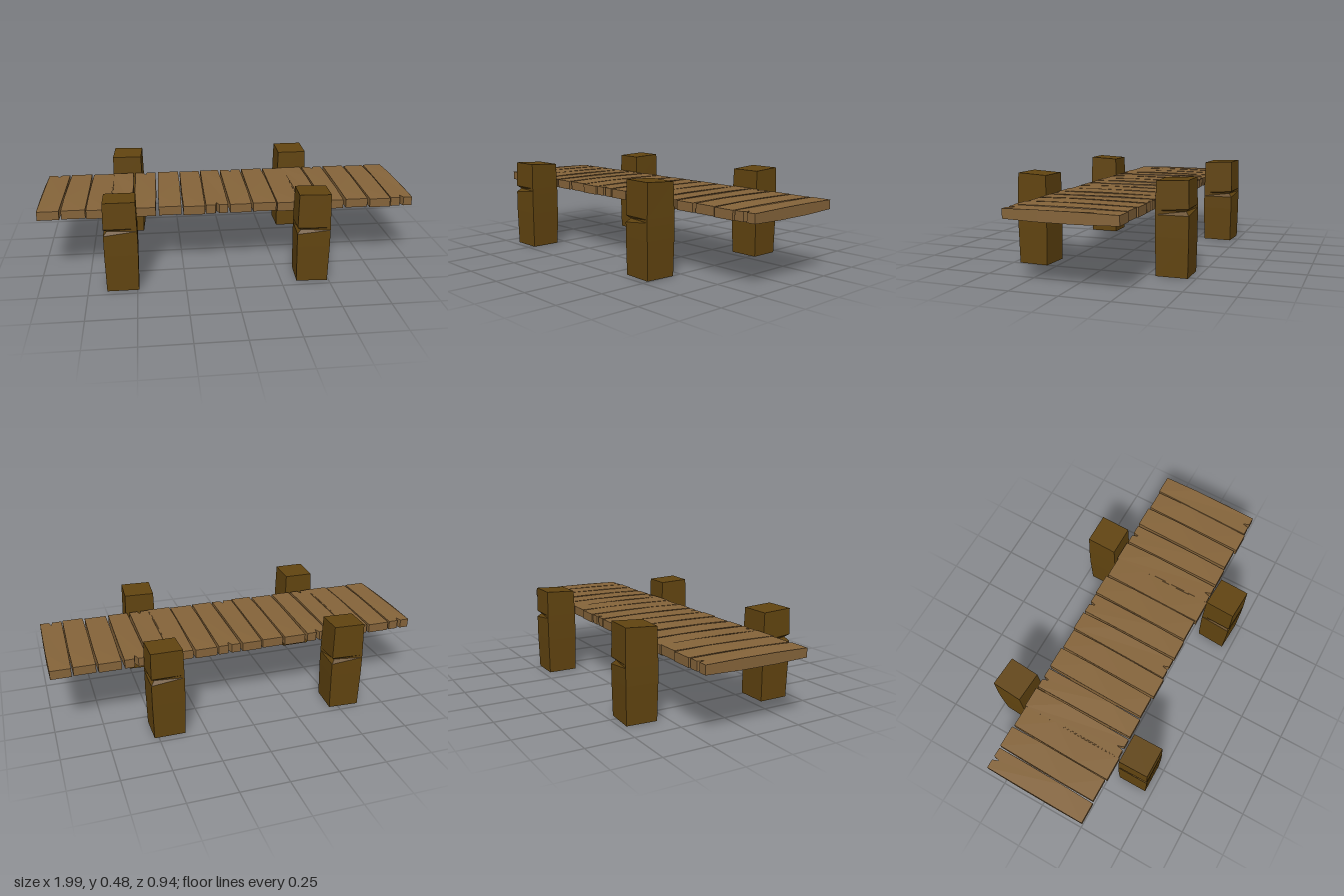
import * as THREE from 'three';

const plankWood = new THREE.MeshStandardMaterial({ color: 0x85643a });
plankWood.name = 'plank wood';
const postWood = new THREE.MeshStandardMaterial({ color: 0x614410 });
postWood.name = 'post wood';

// One deck section: [back x0, x1, front x0, x1, back z, front z, notched end]
const PLANKS = [
  [-0.995, -0.877, -1.0, -0.888, -0.287, 0.28, 'back'],
  [-0.866, -0.75, -0.877, -0.754, -0.29, 0.275, ''],
  [-0.738, -0.621, -0.749, -0.621, -0.284, 0.285, ''],
  [-0.62, -0.508, -0.626, -0.513, -0.29, 0.28, 'front'],
  [-0.497, -0.38, -0.499, -0.391, -0.287, 0.28, 'back'],
  [-0.364, -0.247, -0.375, -0.257, -0.29, 0.275, ''],
  [-0.236, -0.123, -0.246, -0.134, -0.284, 0.285, ''],
  [-0.113, -0.008, -0.128, -0.011, -0.29, 0.278, 'front'],
];

// Slightly bowed plank with an optional V split in one end
function plankGeometry([bx0, bx1, fx0, fx1, zb, zf, notch]) {
  const lerp = THREE.MathUtils.lerp;
  const bm = lerp(bx0, bx1, 0.5), fm = lerp(fx0, fx1, 0.5);
  const side = (b, f, z, out) => [lerp(b, f, (z - zb) / (zf - zb)) + out, z];
  const pts = [[bx0, zb]];
  if (notch === 'back') pts.push([bm - 0.012, zb], [bm, zb + 0.035], [bm + 0.008, zb]);
  pts.push([bx1, zb], side(bx1, fx1, -0.1, 0.003), side(bx1, fx1, 0.1, 0.002), [fx1, zf]);
  if (notch === 'front') pts.push([fm + 0.012, zf], [fm, zf - 0.035], [fm - 0.008, zf]);
  pts.push([fx0, zf], side(bx0, fx0, 0.1, -0.002), side(bx0, fx0, -0.1, -0.002));
  const shape = new THREE.Shape(pts.map(([x, z]) => new THREE.Vector2(x, z)));
  const g = new THREE.ExtrudeGeometry(shape, { depth: 0.047, bevelEnabled: false });
  g.rotateX(Math.PI / 2);
  g.translate(0, 0.38, 0);
  // Thicken the middle
  const p = g.attributes.position;
  for (let i = 0; i < p.count; i++) {
    if (Math.abs(p.getZ(i)) < 0.15) p.setY(i, p.getY(i) + (p.getY(i) > 0.36 ? 0.004 : -0.005));
  }
  g.computeVertexNormals();
  return g;
}

// Rough square post, bulged at the middle, with a chip in one corner
function postGeometry(notchY, signX, signZ) {
  const w = 0.081, heights = [0.003, 0.2, notchY - 0.02, notchY, notchY + 0.015, 0.479];
  const box = new THREE.BoxGeometry(2, 5, 2, 1, 5, 1);
  const p = box.attributes.position;
  for (let i = 0; i < p.count; i++) {
    const sx = Math.sign(p.getX(i)), sz = Math.sign(p.getZ(i));
    const row = Math.round(p.getY(i) + 2.5);
    const y = heights[row];
    const bulge = 0.004 * Math.sin(Math.PI * y / 0.48);
    const chip = row === 3 && sx === signX && sz === signZ ? 0.018 : 0;
    const tilt = row === 5 ? 0.004 * sz * signZ : 0;
    p.setXYZ(i, sx * (w + bulge - chip), y + tilt, sz * (w + bulge - chip));
  }
  const g = box.toNonIndexed();
  g.computeVertexNormals();
  return g;
}

export function createModel() {
  const model = new THREE.Group();
  model.name = 'woodenDock';

  // Deck: two identical sections of eight planks
  const deck = new THREE.Group();
  deck.name = 'deck';
  for (const data of PLANKS) {
    const g = plankGeometry(data);
    for (const x of [0, 1]) {
      const plank = new THREE.Mesh(g, plankWood);
      plank.name = 'plank';
      plank.position.x = x;
      deck.add(plank);
    }
  }
  model.add(deck);

  // Posts: name, x, z, turn, chip height, chip corner
  const posts = [
    ['frontRightPost', -0.573, 0.383, 0, 0.33, -1, 1],
    ['frontLeftPost', 0.416, 0.379, -0.06, 0.29, -1, 1],
    ['backRightPost', -0.538, -0.384, -0.06, 0.29, 1, -1],
    ['backLeftPost', 0.441, -0.38, 0, 0.33, 1, -1],
  ];
  for (const [name, x, z, turn, notchY, sx, sz] of posts) {
    const post = new THREE.Mesh(postGeometry(notchY, sx, sz), postWood);
    post.name = name;
    post.position.set(x, 0, z);
    post.rotation.y = turn;
    model.add(post);
  }
  return model;
}
